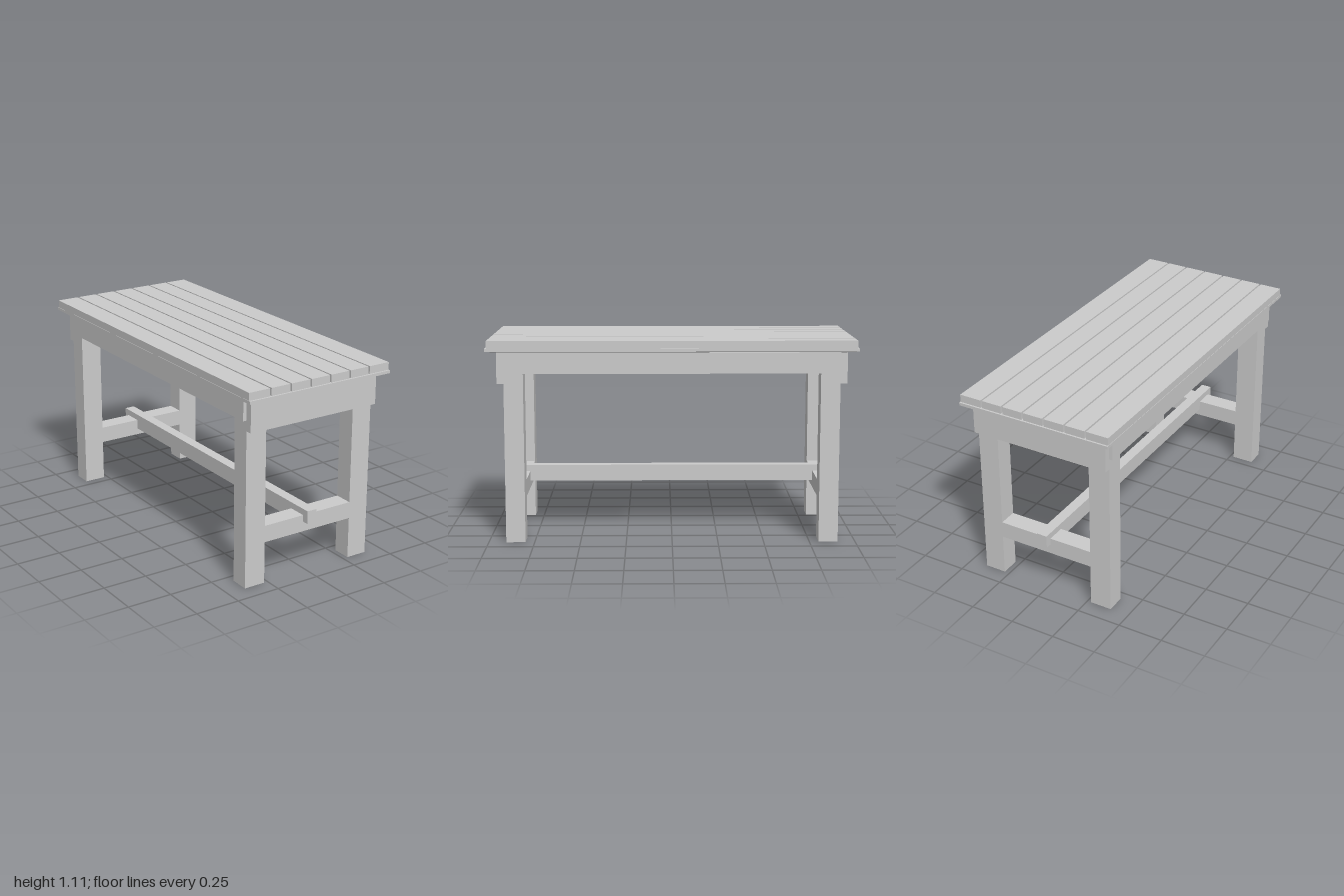
import * as THREE from 'three';

const material = new THREE.MeshStandardMaterial({ color: 0xcccccc, flatShading: true });
const openMaterial = new THREE.MeshStandardMaterial({ color: 0xcccccc, flatShading: true, side: THREE.DoubleSide });

// Box given by its limits on each axis
function block(name, [x0, x1], [y0, y1], [z0, z1], mat = material) {
  const mesh = new THREE.Mesh(new THREE.BoxGeometry(x1 - x0, y1 - y0, z1 - z0), mat);
  mesh.position.set((x0 + x1) / 2, (y0 + y1) / 2, (z0 + z1) / 2);
  mesh.name = name;
  return mesh;
}

// Limits mirrored to the negative side when s is -1
const side = (s, a, b) => (s > 0 ? [a, b] : [-b, -a]);

export function createModel() {
  const table = new THREE.Group();
  table.name = 'slattedTable';

  // Top: seven slats with narrow gaps
  const slats = new THREE.Group();
  slats.name = 'topSlats';
  const count = 7, pitch = 0.1233, outer = 0.438, gap = 0.0095;
  for (let i = 0; i < count; i++) {
    const c = (i - (count - 1) / 2) * pitch;
    const x0 = i === 0 ? -outer : c - (pitch - gap) / 2;
    const x1 = i === count - 1 ? outer : c + (pitch - gap) / 2;
    slats.add(block('slat', [x0, x1], [1.064, 1.106], [-0.99, 0.99]));
  }
  table.add(slats);

  // Board under the slats, with a shallow sloping underside
  table.add(block('topBoard', [-0.44, 0.44], [1.048, 1.064], [-1, 1]));
  const under = block('boardUnderside', [-0.44, 0.44], [1.04, 1.048], [-1, 1]);
  const p = under.geometry.attributes.position;
  for (let i = 0; i < p.count; i++) {
    if (p.getY(i) < 0) p.setXYZ(i, p.getX(i) * 0.91, p.getY(i), p.getZ(i) * 0.935);
  }
  table.add(under);

  // Solid frame below the board
  table.add(block('frame', [-0.413, 0.415], [0.927, 1.042], [-0.905, 0.905]));

  for (const sz of [1, -1]) {
    const end = new THREE.Group();
    end.name = sz > 0 ? 'frontEnd' : 'backEnd';
    end.add(block('apron', [-0.393, 0.398], [0.87, 1.043], side(sz, 0.905, 0.942)));
    end.add(block('crossRail', [-0.272, 0.28], [0.232, 0.325], side(sz, 0.8, 0.905)));
    for (const [name, x] of [['leftLeg', [0.28, 0.398]], ['rightLeg', [-0.393, -0.272]]]) {
      const leg = block(name, x, [0, 1.04], side(sz, 0.8, 0.905), openMaterial);
      // Legs are hollow and open at the foot
      const index = Array.from(leg.geometry.index.array);
      index.splice(18, 6);
      leg.geometry.setIndex(index);
      leg.geometry.clearGroups();
      end.add(leg);
    }
    table.add(end);
  }

  // Long stretcher, stepped where it rests in the cross rails
  const half = [[0.942, 0.36], [0.942, 0.288], [0.8, 0.288], [0.8, 0.27]];
  const outline = [...half, ...half.map(([z, y]) => [-z, y]).reverse()];
  const shape = new THREE.Shape(outline.map(([z, y]) => new THREE.Vector2(z, y)));
  const width = 0.059;
  const geometry = new THREE.ExtrudeGeometry(shape, { depth: width, bevelEnabled: false });
  geometry.translate(0, 0, -width / 2).rotateY(-Math.PI / 2);
  const stretcher = new THREE.Mesh(geometry, material);
  stretcher.position.x = 0.0025;
  stretcher.name = 'stretcher';
  table.add(stretcher);

  return table;
}
